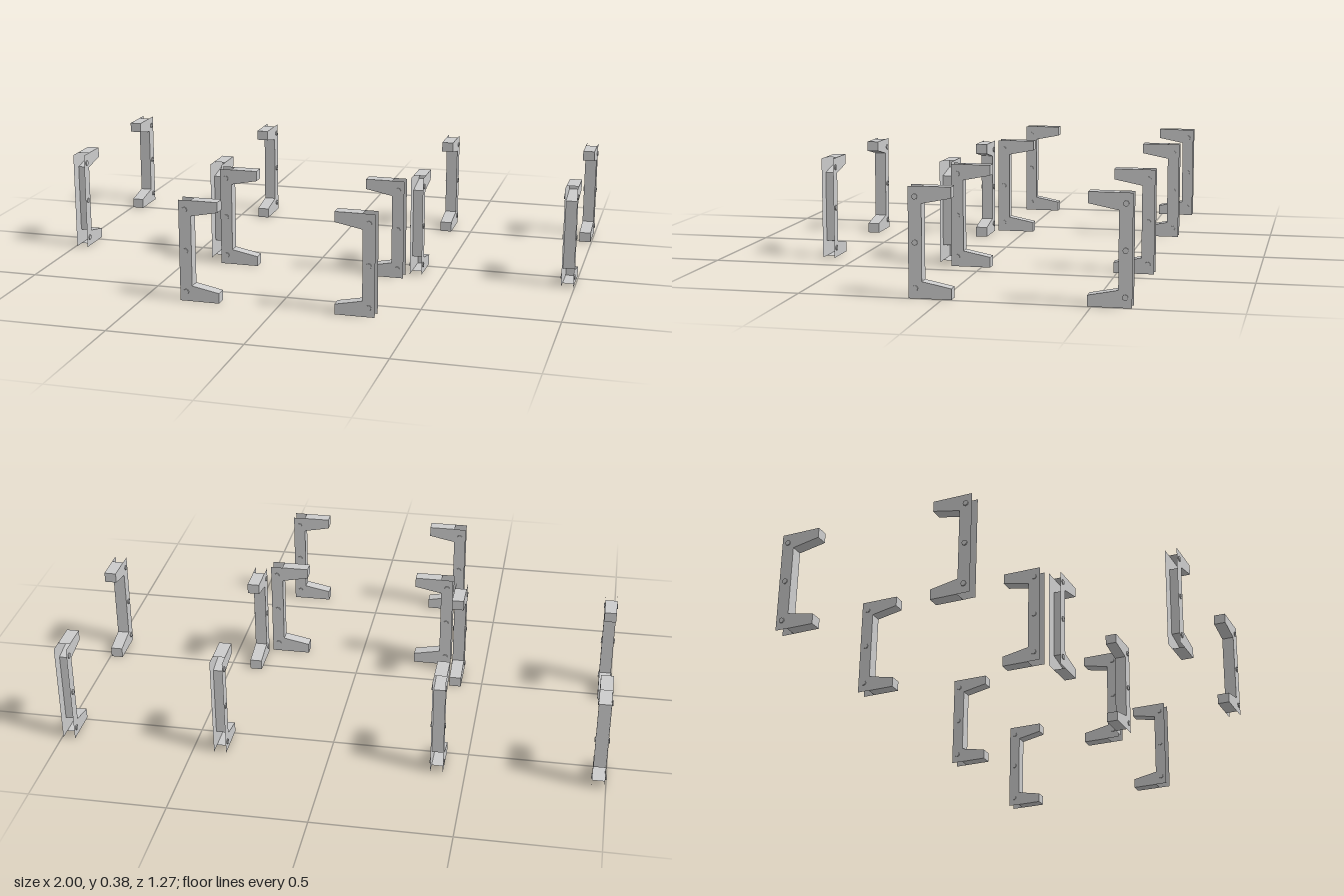
import * as THREE from 'three';

const HEIGHT = 0.378, HALF = 0.0225, SPINE = 0.046, REACH = 0.147;
const TIP = 0.038, ROOT = 0.058; // arm thickness at its tip and at the spine

const material = new THREE.MeshStandardMaterial({ color: 0xcccccc, flatShading: true, side: THREE.DoubleSide });

// C-shaped side outline: spine back at x = 0, arms reaching to +x
function sideGeometry() {
  const pts = [[0, 0], [REACH, 0], [REACH, TIP], [SPINE, ROOT], [SPINE, HEIGHT - ROOT],
    [REACH, HEIGHT - TIP], [REACH, HEIGHT], [0, HEIGHT]];
  return new THREE.ShapeGeometry(new THREE.Shape(pts.map(p => new THREE.Vector2(...p))));
}

// Strip of sheet joining the two sides; the spine's back and ends stay open
function webGeometry() {
  const path = [[SPINE, 0], [REACH, 0], [REACH, TIP], [SPINE, ROOT], [SPINE, HEIGHT - ROOT],
    [REACH, HEIGHT - TIP], [REACH, HEIGHT], [SPINE, HEIGHT]];
  const pos = [];
  for (let i = 0; i < path.length - 1; i++) {
    const [a, b] = path[i], [c, d] = path[i + 1];
    pos.push(a, b, HALF, a, b, -HALF, c, d, -HALF);
    pos.push(a, b, HALF, c, d, -HALF, c, d, HALF);
  }
  const geo = new THREE.BufferGeometry();
  geo.setAttribute('position', new THREE.Float32BufferAttribute(pos, 3));
  geo.computeVertexNormals();
  return geo;
}

export function createModel() {
  const model = new THREE.Group();
  model.name = 'bracketSet';
  const side = sideGeometry();
  const web = webGeometry();
  const head = new THREE.CylinderGeometry(0.01, 0.01, 0.004, 8).rotateX(Math.PI / 2);

  function add(parent, geo, name, x = 0, y = 0, z = 0) {
    const mesh = new THREE.Mesh(geo, material);
    mesh.name = name;
    mesh.position.set(x, y, z);
    parent.add(mesh);
    return mesh;
  }

  // One bracket: (x, z) is the middle of the spine's open back
  function bracket(x, z, angle) {
    const g = new THREE.Group();
    g.name = 'bracket';
    add(g, web, 'innerWeb');
    for (const s of [1, -1]) {
      const plate = add(g, side, 'sidePlate', 0, 0, s * HALF);
      if (s < 0) {
        // turned over so that its front faces outward
        plate.rotation.x = Math.PI;
        plate.position.y = HEIGHT;
      }
      for (const y of [0.035, HEIGHT / 2, HEIGHT - 0.035])
        add(g, head, 'boltHead', SPINE * 0.5, y, s * (HALF + 0.002));
    }
    g.position.set(x, 0, z);
    g.rotation.y = angle;
    model.add(g);
  }

  // Eight brackets in facing pairs along z
  for (const x of [-0.973, -0.398, 0.398, 0.973]) {
    bracket(x, -0.634, -Math.PI / 2);
    bracket(x, 0.115, Math.PI / 2);
  }
  // Four brackets in facing pairs along x
  for (const z of [0.15, 0.608]) {
    bracket(-0.362, z, 0);
    bracket(0.362, z, Math.PI);
  }
  return model;
}
